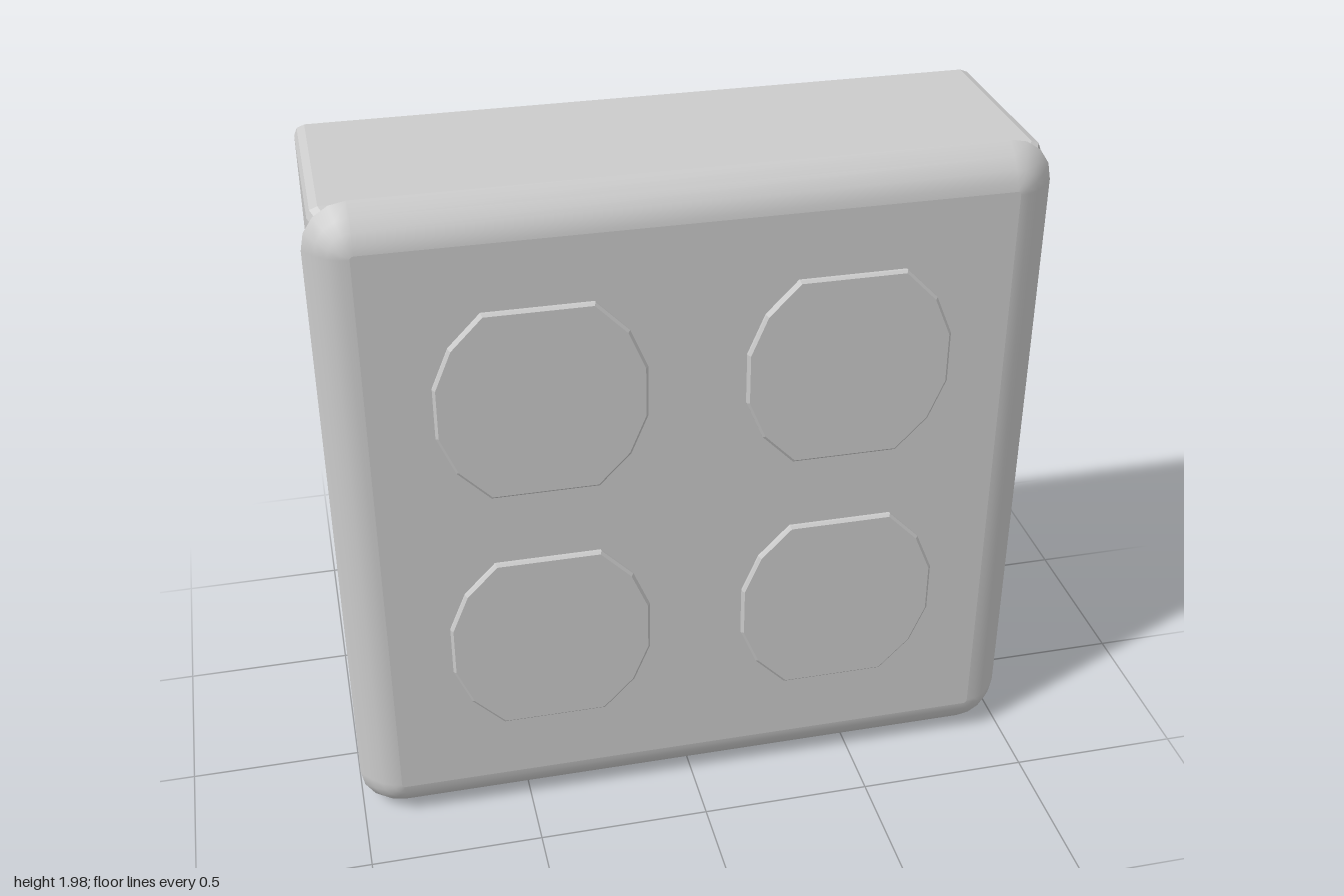
import * as THREE from 'three';

const MID = 0.9875; // height of the plate centre

const material = (flat) => new THREE.MeshStandardMaterial({
  color: 0xcccccc, side: THREE.DoubleSide, flatShading: flat,
});

// Counter-clockwise outline of a rounded rectangle centred on the origin
function roundedRect(hw, hh, r, seg) {
  const pts = [];
  [[1, 1], [-1, 1], [-1, -1], [1, -1]].forEach(([sx, sy], q) => {
    for (let i = 0; i <= seg; i++) {
      const a = (q + i / seg) * Math.PI / 2;
      pts.push(new THREE.Vector2(sx * (hw - r) + r * Math.cos(a), sy * (hh - r) + r * Math.sin(a)));
    }
  });
  return pts;
}

// Skin through closed outlines, ordered from back to front
function loft(rings) {
  const n = rings[0].pts.length, pos = [], idx = [];
  rings.forEach(({ pts, z }) => pts.forEach((p) => pos.push(p.x, p.y, z)));
  for (let i = 0; i < rings.length - 1; i++) {
    for (let j = 0; j < n; j++) {
      const a = i * n + j, b = i * n + (j + 1) % n;
      idx.push(a, b, b + n, a, b + n, a + n);
    }
  }
  const g = new THREE.BufferGeometry();
  g.setAttribute('position', new THREE.Float32BufferAttribute(pos, 3));
  g.setIndex(idx);
  g.computeVertexNormals();
  return g;
}

function addMesh(parent, name, geometry, flat) {
  const mesh = new THREE.Mesh(geometry, material(flat));
  mesh.name = name;
  parent.add(mesh);
  return mesh;
}

// Round outline with flattened top and bottom
function socketOutline(s = 1) {
  const q = [[0.288, 0.075], [0.24, 0.19], [0.15, 0.2825]];
  const half = [...q, ...q.slice().reverse().map(([x, y]) => [-x, y])];
  return [...half, ...half.map(([x, y]) => [-x, -y])]
    .map(([x, y]) => new THREE.Vector2(x * s, y * s));
}

export function createModel() {
  const model = new THREE.Group();
  model.name = 'wallSocketBox';
  const centres = [];
  for (const x of [-0.42, 0.43]) for (const y of [0.6, 1.385]) centres.push([x, y - MID]);

  // Open-backed box
  const boxRing = (d, z) => ({ pts: roundedRect(0.977 - d, 0.967 - d, 0.03, 2), z });
  addMesh(model, 'backBox', loft([boxRing(0, -0.335), boxRing(0, 0.21), boxRing(0.012, 0.235)]), true)
    .position.y = MID;

  // Cover plate: rounded rim and flat face with socket openings
  const plate = new THREE.Group();
  plate.name = 'coverPlate';
  plate.position.y = MID;
  model.add(plate);
  const plateOutline = (d) => roundedRect(1 - d, MID - d, 0.125 - d, 4);
  const profile = [[0.025, 0.226], [0.005, 0.23], [0, 0.238], [0.03, 0.276],
    [0.06, 0.302], [0.09, 0.316], [0.115, 0.32]];
  addMesh(plate, 'plateRim', loft(profile.map(([d, z]) => ({ pts: plateOutline(d), z }))), false);
  const face = new THREE.Shape(plateOutline(0.115));
  for (const [x, y] of centres) {
    face.holes.push(new THREE.Path(socketOutline().reverse().map((p) => new THREE.Vector2(p.x + x, p.y + y))));
  }
  addMesh(plate, 'plateFace', new THREE.ShapeGeometry(face), false).position.z = 0.32;

  // Four socket cups, open at the back and closed in front
  for (const [x, y] of centres) {
    const socket = new THREE.Group();
    socket.name = 'socket';
    socket.position.set(x, y + MID, 0);
    addMesh(socket, 'socketWall', loft([
      { pts: socketOutline(), z: 0.212 },
      { pts: socketOutline(), z: 0.328 },
      { pts: socketOutline(0.975), z: 0.335 },
    ]), true);
    addMesh(socket, 'socketFace', new THREE.ShapeGeometry(new THREE.Shape(socketOutline(0.975))), true)
      .position.z = 0.335;
    model.add(socket);
  }
  return model;
}
